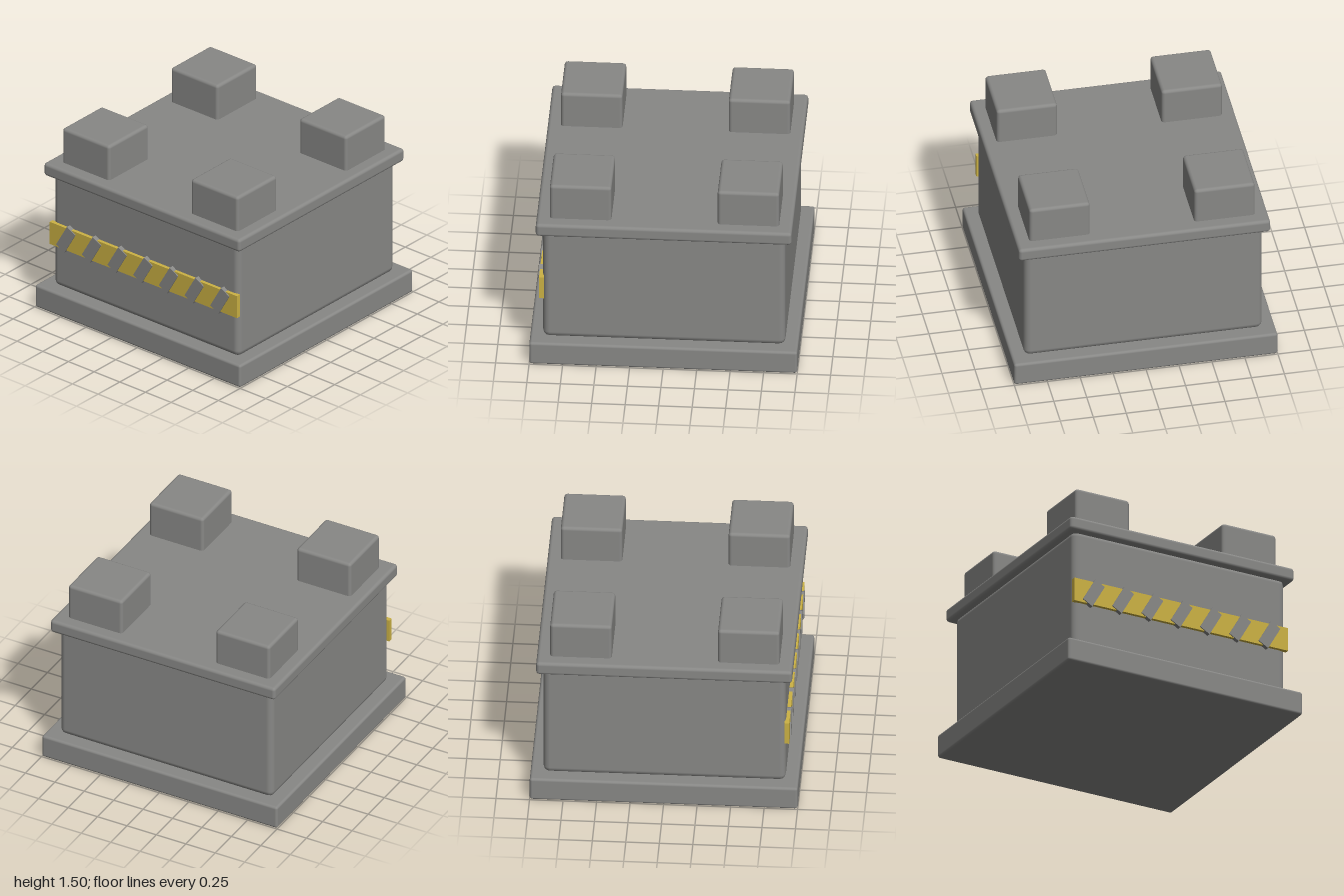
import * as THREE from 'three';
import { RoundedBoxGeometry } from 'three/addons/geometries/RoundedBoxGeometry.js';

export function createModel() {
  const model = new THREE.Group();
  model.name = 'studdedCrate';

  const grey = new THREE.MeshStandardMaterial({ color: 0x888886 });
  grey.name = 'grey';
  const yellow = new THREE.MeshStandardMaterial({ color: 0xccb244 });
  yellow.name = 'warningYellow';

  const add = (name, geometry, material, x, y, z) => {
    const mesh = new THREE.Mesh(geometry, material);
    mesh.name = name;
    mesh.position.set(x, y, z);
    model.add(mesh);
    return mesh;
  };

  // Bevelled square slab spanning y0..y1
  const slab = (name, size, y0, y1, bevel, x = 0, z = 0) =>
    add(name, new RoundedBoxGeometry(size, y1 - y0, size, 2, bevel), grey, x, (y0 + y1) / 2, z);

  slab('base', 2, 0, 0.188, 0.02);
  slab('body', 1.81, 0.18, 1.13, 0.05);
  slab('lid', 1.91, 1.107, 1.213, 0.025);

  // Four corner studs on the lid
  for (const sx of [-1, 1]) {
    for (const sz of [-1, 1]) {
      slab('stud', 0.46, 1.16, 1.5, 0.025, sx * 0.626, sz * 0.626);
    }
  }

  // Warning band across the front
  add('warningBand', new THREE.BoxGeometry(1.824, 0.186, 0.036), yellow, 0, 0.627, 0.914);

  // Slanted bars over the band
  const bar = new THREE.BoxGeometry(0.091, 0.21, 0.046);
  for (let i = -3; i <= 3; i++) {
    add('warningBar', bar, grey, i * 0.25, 0.627, 0.917).rotation.z = -Math.PI / 6;
  }

  return model;
}
